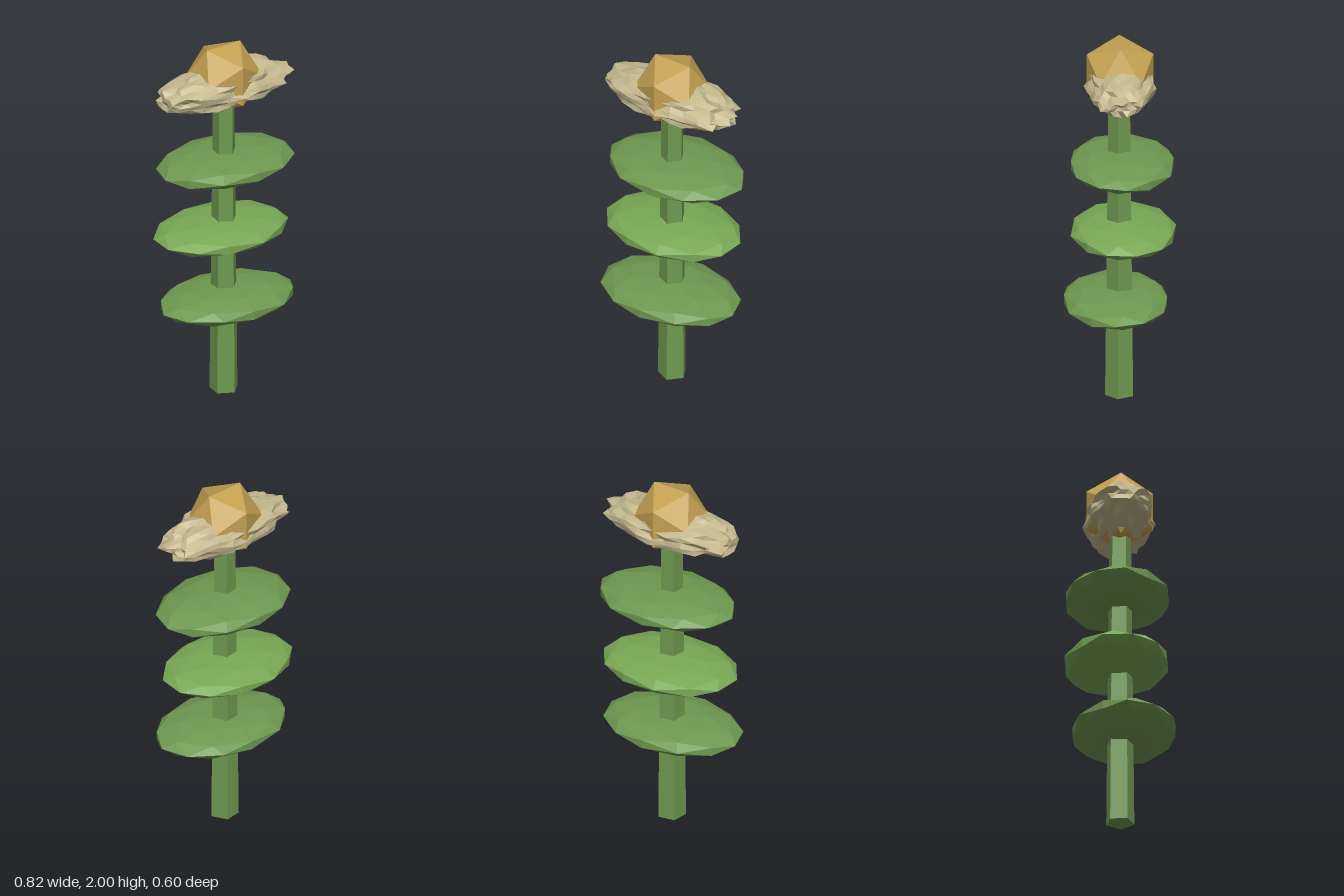
import * as THREE from 'three';

const material = (color) => new THREE.MeshStandardMaterial({ color, flatShading: true });

function addPart(group, name, geometry, color, x, y, z) {
  const mesh = new THREE.Mesh(geometry, material(color));
  mesh.name = name;
  mesh.position.set(x, y, z);
  group.add(mesh);
  return mesh;
}

// Repeatable noise from a direction, so coincident corners move together
function noise(v) {
  const [a, b, c] = [v.x, v.y, v.z].map((n) => Math.round(n * 100));
  const s = Math.sin(a * 12.9898 + b * 78.233 + c * 37.719) * 43758.5453;
  return s - Math.floor(s);
}

// Flattened faceted leaf pad, turned before it is stretched
function padGeometry(turn, sx, sy, sz) {
  const g = new THREE.IcosahedronGeometry(1, 1);
  g.rotateY(turn);
  g.scale(sx, sy, sz);
  g.computeVertexNormals();
  return g;
}

// Spiky oval ruff, pointed at +x and blunt at -x
function ruffGeometry() {
  const g = new THREE.IcosahedronGeometry(1, 4);
  const p = g.attributes.position;
  const v = new THREE.Vector3();
  for (let i = 0; i < p.count; i++) {
    v.fromBufferAttribute(p, i);
    v.multiplyScalar(0.85 + 0.21 * noise(v));
    const x = Math.max(v.x * (v.x > 0 ? 0.405 : 0.44), -0.4);
    const y = THREE.MathUtils.clamp(v.y * 0.116, -0.113, 0.113);
    p.setXYZ(i, x, y, v.z * 0.187);
  }
  g.computeVertexNormals();
  return g;
}

export function createModel() {
  const model = new THREE.Group();
  model.name = 'layeredPlant';

  // Tapering five-sided stem
  const stem = addPart(model, 'stem', new THREE.CylinderGeometry(0.06, 0.079, 1.75, 5), 0x6f9850, -0.012, 0.875, 0.005);
  stem.rotation.y = THREE.MathUtils.degToRad(9);

  // Three leaf pads: centre, half sizes, turn, colour
  const pads = [
    { at: [-0.01, 0.537, 0.027], size: [0.405, 0.077, 0.288], turn: 0.5, color: 0x6f9850 },
    { at: [-0.02, 0.927, -0.015], size: [0.395, 0.077, 0.288], turn: 0.2, color: 0x79a855 },
    { at: [0.005, 1.317, -0.008], size: [0.405, 0.077, 0.288], turn: -0.5, color: 0x6f9850 },
  ];
  pads.forEach(({ at, size, turn, color }, i) => addPart(model, `leafPad${i + 1}`, padGeometry(turn, ...size), color, ...at));

  // Spiky ruff around the faceted flower core
  addPart(model, 'spikyRuff', ruffGeometry(), 0xc4b88e, 0, 1.773, 0.003);
  addPart(model, 'flowerCore', new THREE.IcosahedronGeometry(0.208, 0), 0xc4a152, -0.015, 1.823, 0.003);

  return model;
}
